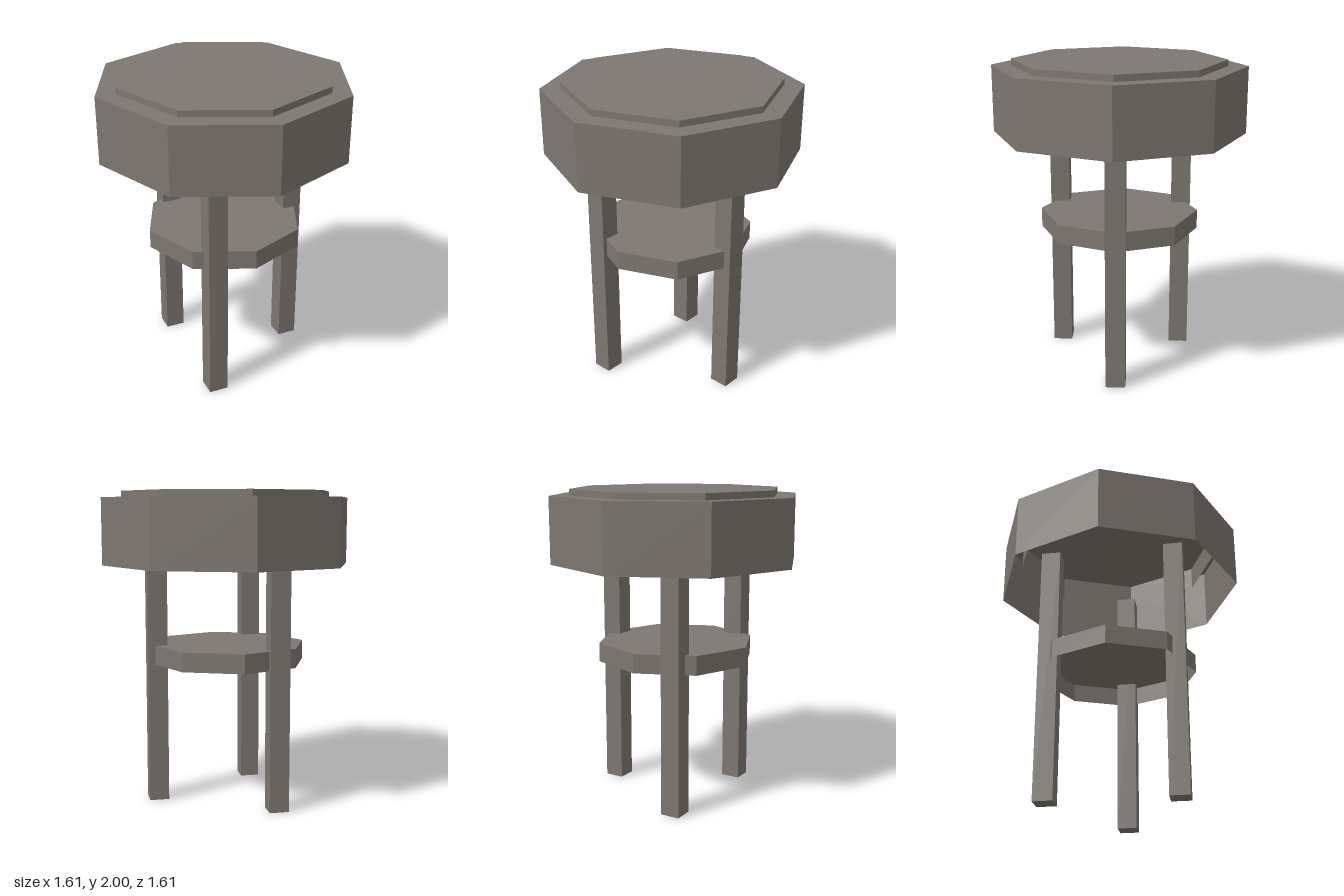
import * as THREE from 'three';
import { mergeGeometries } from 'three/addons/utils/BufferGeometryUtils.js';

const material = new THREE.MeshStandardMaterial({
  color: 0x7d7770, flatShading: true, side: THREE.DoubleSide,
});

// Eight-sided shell with a closed top and an open underside
function octagonShell(name, radius, bottom, top) {
  const wall = new THREE.CylinderGeometry(radius, radius, top - bottom, 8, 1, true);
  wall.translate(0, (top + bottom) / 2, 0);
  const cap = new THREE.CircleGeometry(radius, 8);
  cap.rotateX(-Math.PI / 2).translate(0, top, 0);
  const mesh = new THREE.Mesh(mergeGeometries([wall, cap]), material);
  mesh.name = name;
  return mesh;
}

export function createModel() {
  const group = new THREE.Group();
  group.name = 'stool';

  // Seat drum, raised pad on top and the small shelf between the legs
  group.add(octagonShell('seat', 0.807, 1.535, 1.96));
  group.add(octagonShell('seatPad', 0.68, 1.8, 2));
  group.add(octagonShell('shelf', 0.51, 0.9, 1.022));

  // Three square legs spaced evenly, all aligned with the axes
  const legHeight = 1.7;
  const legGeometry = new THREE.BoxGeometry(0.125, legHeight, 0.125);
  for (let i = 0; i < 3; i++) {
    const angle = (i * 2 * Math.PI) / 3;
    const leg = new THREE.Mesh(legGeometry, material);
    leg.name = `leg${i + 1}`;
    leg.position.set(0.468 * Math.cos(angle), legHeight / 2, 0.468 * Math.sin(angle));
    group.add(leg);
  }
  return group;
}
